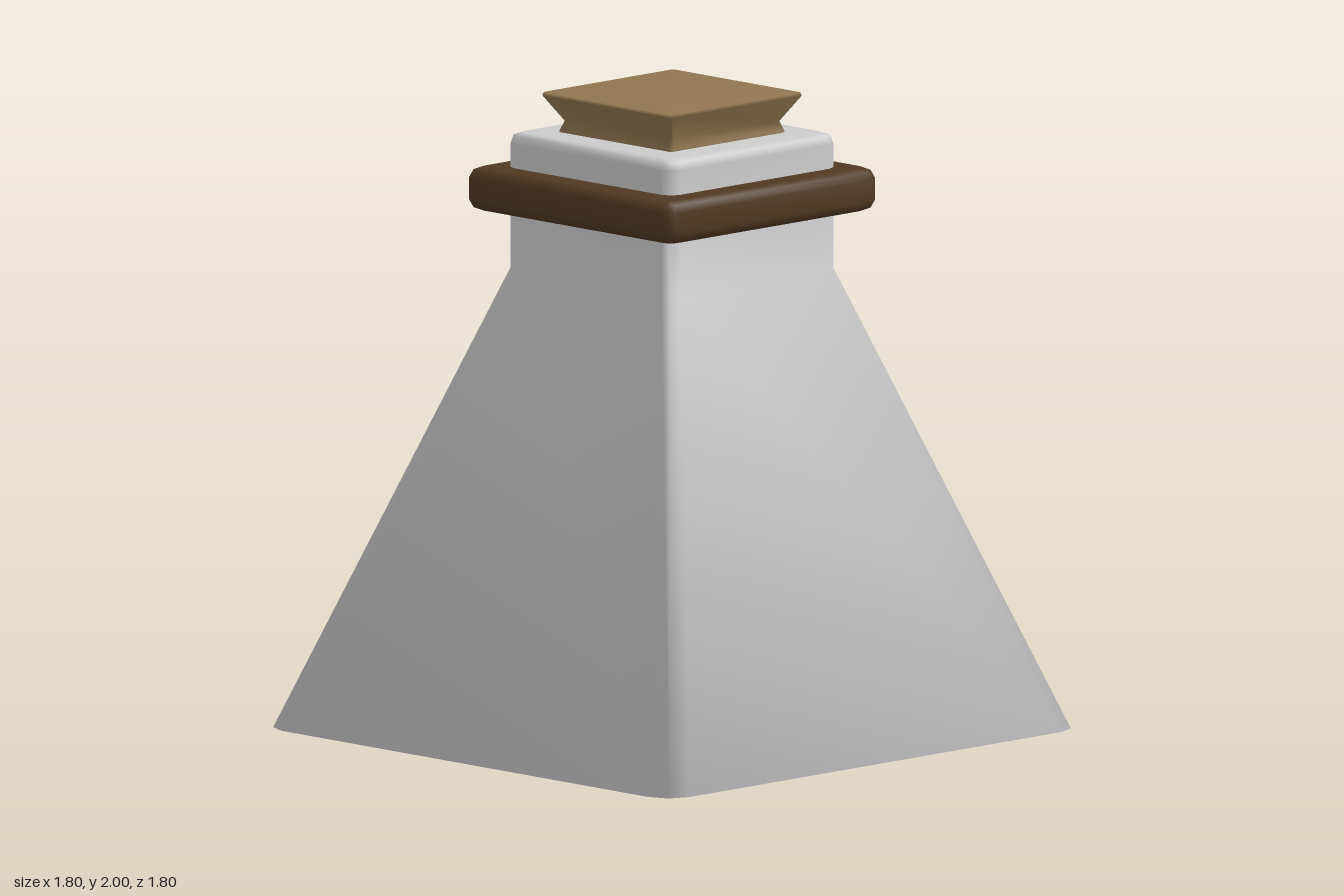
import * as THREE from 'three';

// Rounded-square cross-section as [x, z] points, anticlockwise seen from above
function ring(half, radius, steps) {
  const points = [];
  for (let corner = 0; corner < 4; corner++) {
    const middle = Math.PI / 4 + corner * Math.PI / 2;
    const cx = Math.sign(Math.cos(middle)) * (half - radius);
    const cz = -Math.sign(Math.sin(middle)) * (half - radius);
    for (let i = 0; i <= steps; i++) {
      const a = corner * Math.PI / 2 + (i / steps) * Math.PI / 2;
      points.push([cx + radius * Math.cos(a), cz - radius * Math.sin(a)]);
    }
  }
  return points;
}

// Smooth closed loft through levels of [y, half width, corner radius]
function loft(name, levels, color, steps = 2) {
  const n = 4 * (steps + 1);
  const positions = [];
  const index = [];
  for (const [y, half, radius] of levels) {
    for (const [x, z] of ring(half, radius, steps)) positions.push(x, y, z);
  }
  const last = (levels.length - 1) * n;
  const bottom = last + n;
  const top = bottom + 1;
  positions.push(0, levels[0][0], 0, 0, levels[levels.length - 1][0], 0);
  for (let j = 0; j < n; j++) {
    const k = (j + 1) % n;
    for (let row = 0; row < last; row += n) {
      index.push(row + j, row + k, row + n + j);
      index.push(row + k, row + n + k, row + n + j);
    }
    index.push(bottom, k, j, top, last + j, last + k);
  }
  const geometry = new THREE.BufferGeometry();
  geometry.setAttribute('position', new THREE.Float32BufferAttribute(positions, 3));
  geometry.setIndex(index);
  geometry.computeVertexNormals();
  const mesh = new THREE.Mesh(geometry, new THREE.MeshStandardMaterial({ color }));
  mesh.name = name;
  return mesh;
}

export function createModel() {
  const group = new THREE.Group();
  group.name = 'bottle';

  // Tapered body with a straight square neck
  group.add(loft('body', [
    [0, 0.9, 0.09],
    [1.45, 0.365, 0.04],
    [1.84, 0.365, 0.04],
    [1.866, 0.358, 0.036],
    [1.875, 0.335, 0.03],
  ], 0xcccccc));

  // Rounded band around the neck
  group.add(loft('collar', [
    [1.63, 0.425, 0.03],
    [1.64, 0.449, 0.045],
    [1.664, 0.46, 0.05],
    [1.731, 0.46, 0.05],
    [1.755, 0.449, 0.045],
    [1.765, 0.425, 0.03],
  ], 0x513921, 3));

  // Flared stopper pinched above the neck
  group.add(loft('stopper', [
    [1.85, 0.25, 0.01],
    [1.88, 0.249, 0.01],
    [1.91, 0.238, 0.01],
    [1.99, 0.287, 0.01],
    [2.0, 0.284, 0.01],
  ], 0x917650));

  return group;
}
